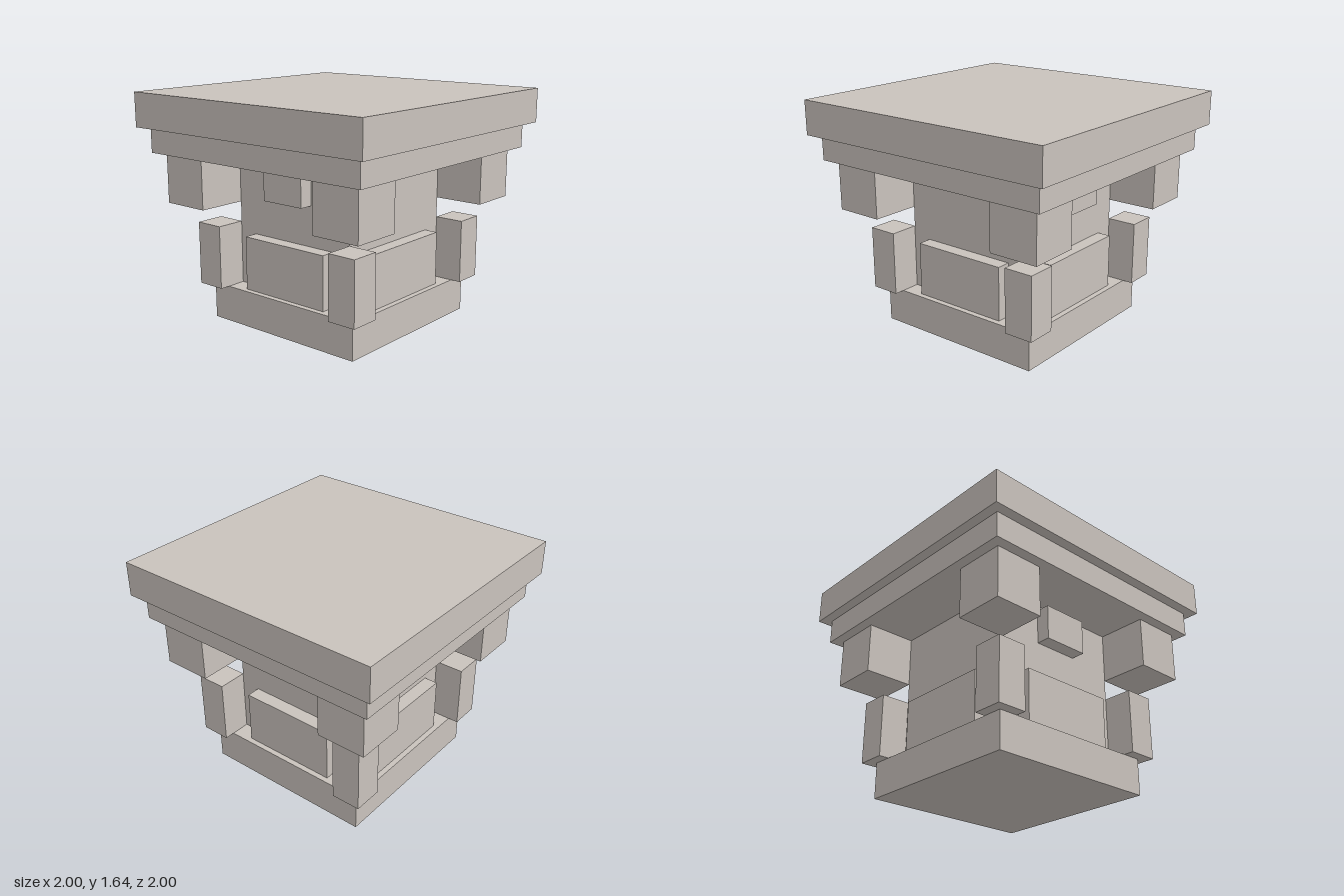
import * as THREE from 'three';

export function createModel() {
  const model = new THREE.Group();
  model.name = 'pedestal';
  const stone = new THREE.MeshStandardMaterial({ color: 0xc9c2bc });
  stone.name = 'pale stone';

  // Box given by its extents along each axis
  function block(name, [x0, x1], [y0, y1], [z0, z1]) {
    const mesh = new THREE.Mesh(new THREE.BoxGeometry(x1 - x0, y1 - y0, z1 - z0), stone);
    mesh.name = name;
    mesh.position.set((x0 + x1) / 2, (y0 + y1) / 2, (z0 + z1) / 2);
    model.add(mesh);
  }
  // Square tier centred on the axis
  const tier = (name, r, y) => block(name, [-r, r], y, [-r, r]);
  const side = (s, inner, outer) => (s > 0 ? [inner, outer] : [-outer, -inner]);

  // Central stack
  tier('base', 0.64, [0, 0.26]);
  tier('shaft', 0.5, [0.26, 1.22]);
  tier('lowerCapital', 0.93, [1.22, 1.4]);
  tier('topSlab', 1, [1.4, 1.645]);

  for (const s of [-1, 1]) {
    // Panels on all four faces, small plaques on front and back only
    block('frontBackPanel', [-0.357, 0.357], [0.26, 0.645], side(s, 0.5, 0.6));
    block('sidePanel', side(s, 0.5, 0.6), [0.26, 0.645], [-0.357, 0.357]);
    block('plaque', [-0.17, 0.17], [0.93, 1.18], side(s, 0.5, 0.6));

    // Blocks at the four corners: feet below, brackets under the capital
    for (const t of [-1, 1]) {
      block('cornerFoot', side(s, 0.5, 0.714), [0.26, 0.715], side(t, 0.5, 0.714));
      block('cornerBracket', side(s, 0.5, 0.858), [0.86, 1.22], side(t, 0.5, 0.858));
    }
  }
  return model;
}
